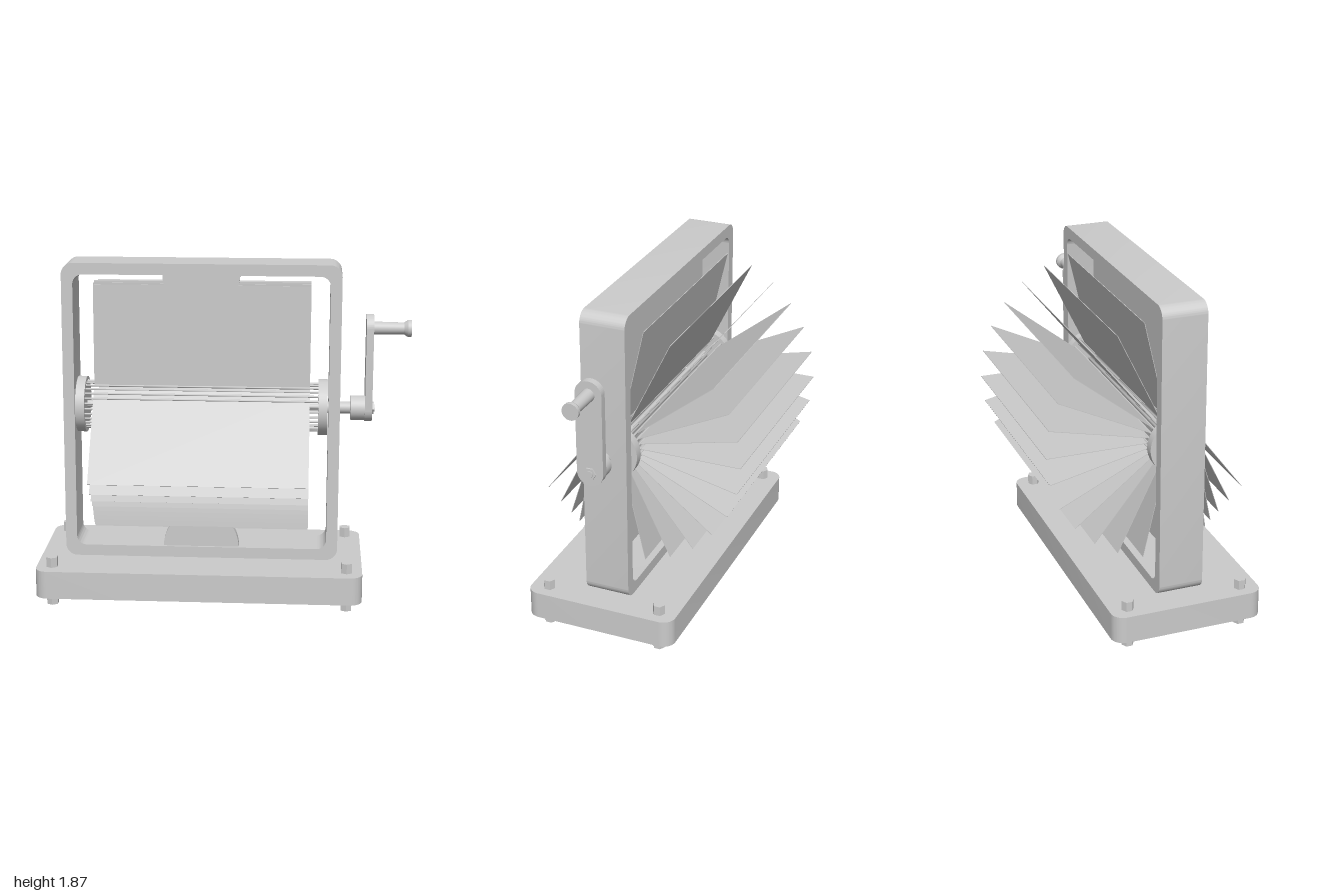
import * as THREE from 'three';
import { toCreasedNormals } from 'three/addons/utils/BufferGeometryUtils.js';

const mat = new THREE.MeshStandardMaterial({ color: 0xcccccc });
const AXIS_Y = 1.062, SLOTS = 28, ROOT_R = 0.13, PAGE_L = 0.565, PAGE_W = 1.19;

function add(parent, name, geo, x = 0, y = 0, z = 0) {
  const m = new THREE.Mesh(geo, mat);
  m.name = name;
  m.position.set(x, y, z);
  parent.add(m);
  return m;
}

// Rounded rectangle outline centred on the origin
function roundRect(w, h, r, Type = THREE.Shape) {
  const s = new Type(), a = w / 2 - r, b = h / 2 - r;
  s.absarc(a, b, r, 0, Math.PI / 2);
  s.absarc(-a, b, r, Math.PI / 2, Math.PI);
  s.absarc(-a, -b, r, Math.PI, Math.PI * 1.5);
  s.absarc(a, -b, r, Math.PI * 1.5, Math.PI * 2);
  s.closePath();
  return s;
}

// Extrusion centred on its depth
function slab(shape, depth) {
  const g = new THREE.ExtrudeGeometry(shape, { depth, bevelEnabled: false, curveSegments: 12 });
  g.translate(0, 0, -depth / 2);
  return toCreasedNormals(g, 0.6);
}

// Cylinder lying along x from x0 to x1
function rod(parent, name, r, x0, x1, y, z = 0, sides = 32, r1 = r) {
  const g = new THREE.CylinderGeometry(r1, r, x1 - x0, sides);
  g.rotateZ(-Math.PI / 2);
  return add(parent, name, sides < 8 ? toCreasedNormals(g, 0.5) : g, (x0 + x1) / 2, y, z);
}

export function createModel() {
  const model = new THREE.Group();
  const body = new THREE.Group();
  body.name = 'flipMachine';
  body.position.set(-0.033, 0, 0.06);
  body.rotation.y = -0.482;
  model.add(body);

  // Base plate with four hex bolts through it
  const base = slab(roundRect(1.79, 0.857, 0.07), 0.155);
  base.rotateX(-Math.PI / 2);
  add(body, 'basePlate', base, 0, 0.1375, 0);
  const bolt = toCreasedNormals(new THREE.CylinderGeometry(0.034, 0.034, 0.27, 6), 0.5);
  for (const x of [-0.81, 0.81])
    for (const z of [-0.327, 0.327]) add(body, 'baseBolt', bolt, x, 0.135, z);

  // Upright frame
  const outline = roundRect(1.52, 1.655, 0.065);
  outline.holes.push(roundRect(1.396, 1.531, 0.055, THREE.Path));
  add(body, 'frame', slab(outline, 0.25), 0, 1.0425, 0);

  // Half-round page stops at the top and bottom of the opening
  for (const s of [1, -1]) {
    const half = new THREE.Shape();
    half.absarc(0, 0, 0.21, s > 0 ? Math.PI : 0, s > 0 ? Math.PI * 2 : Math.PI);
    half.closePath();
    add(body, s > 0 ? 'topStop' : 'bottomStop', slab(half, 0.05), 0, 1.0425 + s * 0.7665, 0.085);
  }

  // Spindle and the two hub discs
  rod(body, 'spindle', 0.02, -0.74, 0.7, AXIS_Y);
  for (const s of [-1, 1]) rod(body, 'hubDisc', 0.155, s * 0.667 - 0.025, s * 0.667 + 0.025, AXIS_Y, 0, 48);

  // Pages: radial at the back, two held up by the stop, the rest hanging in front
  const hangTilt = [37, 26, 17.5, 11.5, 8, 6.5, 5.5, 5, 4.5, 4, 3];
  const pageGeo = new THREE.BoxGeometry(PAGE_W, PAGE_L, 0.003);
  pageGeo.translate(0, PAGE_L / 2, 0);
  const pages = new THREE.Group();
  pages.name = 'pages';
  body.add(pages);
  for (let i = 0; i < SLOTS; i++) {
    const slot = i / SLOTS * Math.PI * 2; // 0 = straight up, growing towards the front
    const y = AXIS_Y + ROOT_R * Math.cos(slot), z = ROOT_R * Math.sin(slot);
    let tilt = slot;
    if (i === 1) tilt = 0.045;
    else if (i === 2) tilt = 0;
    else if (i > 2 && i < 14) tilt = Math.PI - THREE.MathUtils.degToRad(hangTilt[i - 3]);
    add(pages, 'page', pageGeo, 0, y, z).rotation.x = tilt;
    rod(pages, 'pagePin', 0.006, -0.65, 0.65, y, z, 8);
  }

  // Crank: stub shaft, collar, arm, nut and handle
  const crank = new THREE.Group();
  crank.name = 'crank';
  body.add(crank);
  rod(crank, 'crankShaft', 0.033, 0.69, 0.84, AXIS_Y);
  rod(crank, 'crankCollar', 0.068, 0.82, 0.9, AXIS_Y);
  const arm = slab(roundRect(0.148, 0.596, 0.0735), 0.04);
  arm.rotateY(Math.PI / 2);
  add(crank, 'crankArm', arm, 0.917, AXIS_Y + 0.226, 0);
  rod(crank, 'crankNut', 0.036, 0.93, 0.947, AXIS_Y, 0, 6);
  rod(crank, 'crankNutCentre', 0.02, 0.94, 0.952, AXIS_Y, 0, 16);
  const handleY = AXIS_Y + 0.448;
  rod(crank, 'handleGrip', 0.036, 0.93, 1.12, handleY, 0, 32, 0.032);
  rod(crank, 'handleFlare', 0.032, 1.1, 1.122, handleY, 0, 32, 0.046);
  rod(crank, 'handleEnd', 0.046, 1.122, 1.142, handleY);

  return model;
}
